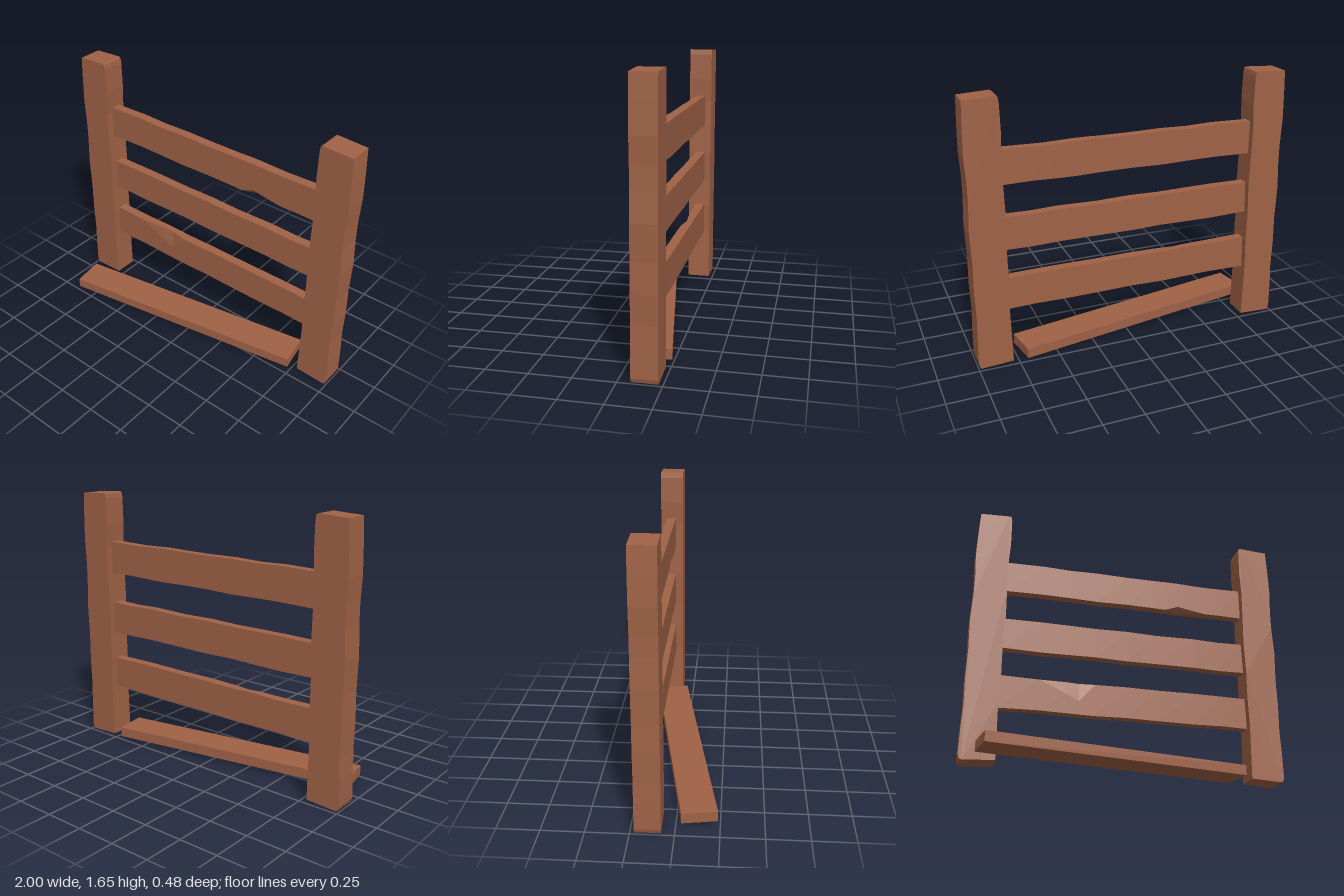
import * as THREE from 'three';

const wood = new THREE.MeshStandardMaterial({ color: 0xa06246 });
wood.name = 'reddish brown wood';

// Gate post: uneven outline pulled through its depth; side is -1 or 1
function makePost(side) {
  const outline = [
    [0.785, 0.01], [0.975, 0], [0.99, 0.005], [0.998, 0.03], [0.996, 0.2], [0.991, 0.33],
    [0.996, 0.5], [0.993, 0.68], [1.0, 0.88], [0.992, 1.06], [0.992, 1.18], [1.0, 1.33],
    [0.996, 1.5], [0.99, 1.645], [0.805, 1.655], [0.793, 1.65], [0.788, 1.62], [0.785, 1.45],
    [0.792, 1.3], [0.789, 1.12], [0.784, 0.93], [0.79, 0.72], [0.787, 0.54], [0.792, 0.36],
    [0.788, 0.18],
  ].map(([x, y]) => new THREE.Vector2(x * side, y));
  const geometry = new THREE.ExtrudeGeometry(new THREE.Shape(outline), { depth: 0.15, bevelEnabled: false });
  geometry.translate(0, 0, -0.225);
  return new THREE.Mesh(geometry, wood);
}

// Rail: six-point sections along x; chips cut into the front edge, as
// { x0, apex, x1, height, depth, top }
function makeRail(bottom, top, phase, chip) {
  const zBack = -0.185, zFront = -0.125;
  const xs = [-0.795, -0.55, -0.38, -0.2, 0, 0.2, 0.45, 0.62, 0.79];
  if (chip) xs.push(chip.x0, chip.apex, chip.x1);
  xs.sort((a, b) => a - b);
  const sections = xs.map((x) => {
    let cut = 0;
    if (chip && x > chip.x0 && x < chip.x1) {
      cut = x < chip.apex ? (x - chip.x0) / (chip.apex - chip.x0) : (chip.x1 - x) / (chip.x1 - chip.apex);
    }
    const hi = chip && chip.top ? cut : 0;
    const lo = chip && !chip.top ? cut : 0;
    const t = top - 0.002 + 0.003 * Math.sin(x * 14 + phase);
    const b = bottom + 0.002 + 0.003 * Math.sin(x * 11 + phase * 2);
    const h = chip ? chip.height : 0, d = chip ? chip.depth : 0;
    return [
      [x, b, zBack], [x, b, zFront - lo * d], [x, b + lo * h, zFront],
      [x, t - hi * h, zFront], [x, t, zFront - hi * d], [x, t, zBack],
    ];
  });
  const points = [];
  for (let i = 0; i < sections.length - 1; i++) {
    const p = sections[i], q = sections[i + 1];
    for (let j = 0; j < 6; j++) {
      const k = (j + 1) % 6;
      points.push(p[j], q[j], q[k], p[j], q[k], p[k]);
    }
  }
  // end caps
  const first = sections[0], last = sections[sections.length - 1];
  for (let j = 1; j < 5; j++) {
    points.push(first[0], first[j], first[j + 1], last[0], last[j + 1], last[j]);
  }
  // sections run clockwise seen from +x, so swap two corners of each face
  const flat = [];
  for (let i = 0; i < points.length; i += 3) flat.push(...points[i], ...points[i + 1], ...points[i + 2]);
  const geometry = new THREE.BufferGeometry();
  geometry.setAttribute('position', new THREE.Float32BufferAttribute(orient(flat, (bottom + top) / 2), 3));
  geometry.computeVertexNormals();
  return new THREE.Mesh(geometry, wood);
}

// Turn every triangle of a convex-like bar outward from its long axis
function orient(flat, yMid) {
  const a = new THREE.Vector3(), b = new THREE.Vector3(), c = new THREE.Vector3();
  const out = new THREE.Vector3();
  for (let i = 0; i < flat.length; i += 9) {
    a.fromArray(flat, i);
    b.fromArray(flat, i + 3);
    c.fromArray(flat, i + 6);
    out.copy(a).add(b).add(c).divideScalar(3).sub(new THREE.Vector3(0, yMid, -0.155));
    const normal = b.clone().sub(a).cross(c.clone().sub(a));
    const isCap = a.x === b.x && b.x === c.x;
    if (!isCap) out.x = 0;
    if (normal.dot(out) < 0) {
      b.toArray(flat, i + 6);
      c.toArray(flat, i + 3);
    }
  }
  return flat;
}

export function createModel() {
  const model = new THREE.Group();
  model.name = 'brokenFence';
  const add = (mesh, name) => {
    mesh.name = name;
    model.add(mesh);
    return mesh;
  };

  add(makePost(-1), 'rightPost');
  add(makePost(1), 'leftPost');

  add(makeRail(0.345, 0.553, 0.5, { x0: -0.55, apex: -0.3, x1: -0.2, height: 0.12, depth: 0.02, top: true }), 'lowerRail');
  add(makeRail(0.73, 0.937, 2, null), 'middleRail');
  add(makeRail(1.13, 1.34, 3.5, { x0: 0.26, apex: 0.35, x1: 0.54, height: 0.035, depth: 0.035, top: false }), 'upperRail');

  // Fallen plank lying askew at the foot
  const plank = add(new THREE.Mesh(new THREE.BoxGeometry(1.633, 0.063, 0.209), wood), 'fallenPlank');
  plank.position.set(-0.088, 0.05, -0.004);
  plank.rotation.y = 0.169;

  return model;
}
